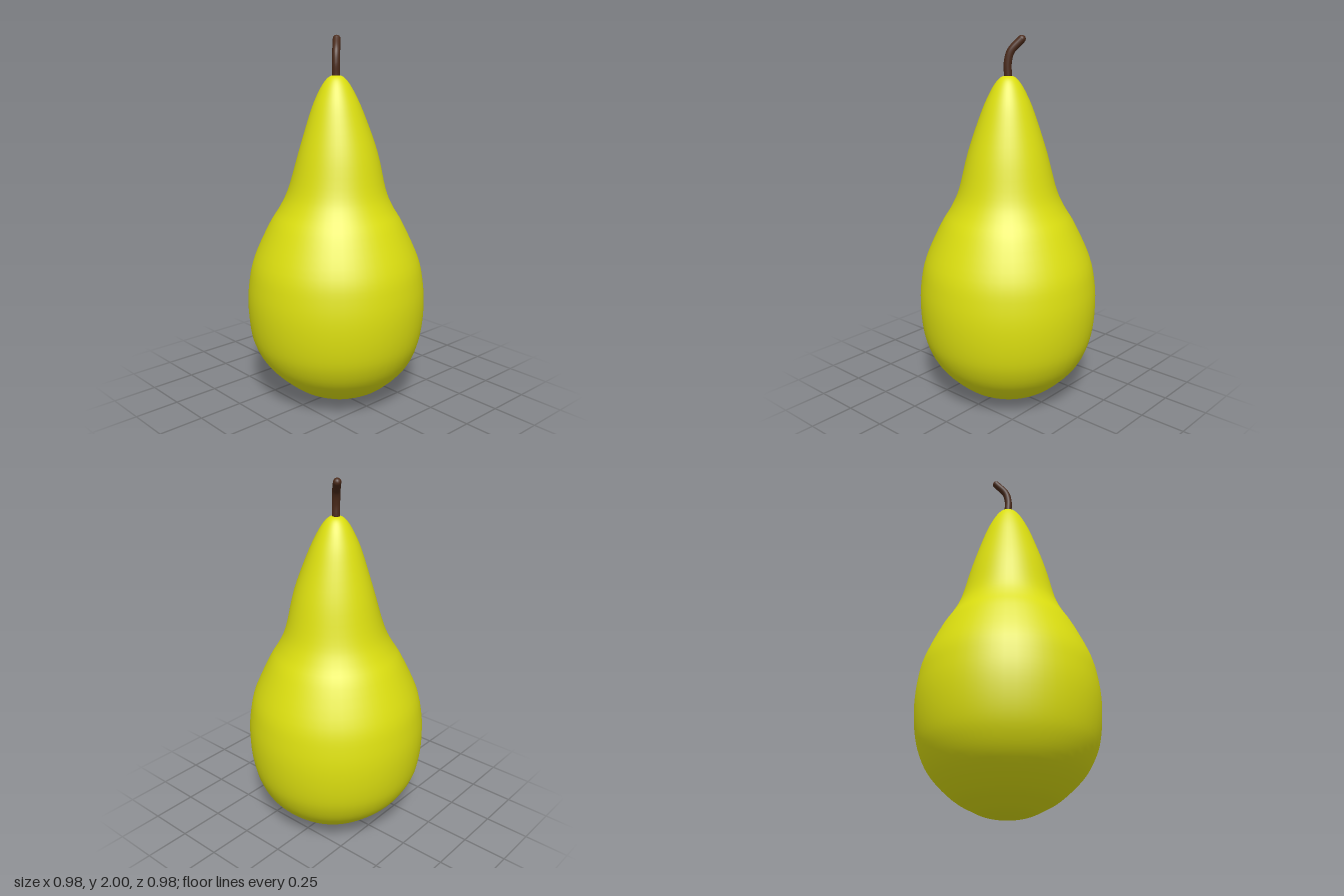
import * as THREE from 'three';

const mesh = (name, geometry, material) => {
  const m = new THREE.Mesh(geometry, material);
  m.name = name;
  return m;
};

// Smooth turned body, leaning very slightly off its axis
function createBody() {
  const outline = [
    [0, 0.004], [0.07, 0.007], [0.13, 0.02], [0.19, 0.047], [0.28, 0.1], [0.39, 0.205],
    [0.45, 0.31], [0.478, 0.42], [0.488, 0.56], [0.478, 0.69], [0.448, 0.82], [0.365, 1.0],
    [0.305, 1.1], [0.262, 1.2], [0.21, 1.4], [0.143, 1.6], [0.1, 1.7], [0.065, 1.76],
    [0.035, 1.79], [0, 1.8],
  ].map(([r, y]) => new THREE.Vector2(r, y));
  const profile = new THREE.SplineCurve(outline).getPoints(76);
  profile.forEach((p) => { p.x = Math.max(p.x, 0); });
  profile[0].x = profile[profile.length - 1].x = 0;

  const geometry = new THREE.LatheGeometry(profile, 48);
  const pos = geometry.attributes.position;
  for (let i = 0; i < pos.count; i++) {
    const y = pos.getY(i);
    const base = 1 - THREE.MathUtils.smoothstep(y, 0.05, 0.4);
    const neck = Math.exp(-(((y - 1.4) / 0.22) ** 2));
    pos.setX(i, pos.getX(i) + 0.012 * base + 0.01 * neck);
    pos.setZ(i, pos.getZ(i) - 0.016 * base - 0.005 * neck);
  }
  return geometry;
}

export function createModel() {
  const model = new THREE.Group();
  model.name = 'pear';
  const skin = new THREE.MeshStandardMaterial({ color: 0xdde010 });
  const bark = new THREE.MeshStandardMaterial({ color: 0x4a2a1a });

  model.add(mesh('body', createBody(), skin));

  // Curved stem with rounded ends
  const stem = new THREE.Group();
  stem.name = 'stem';
  const path = new THREE.CatmullRomCurve3([
    new THREE.Vector3(0, 1.8, 0),
    new THREE.Vector3(0.001, 1.86, 0.001),
    new THREE.Vector3(-0.01, 1.92, -0.01),
    new THREE.Vector3(-0.05, 1.981, -0.05),
  ]);
  const radius = 0.021;
  stem.add(mesh('stemShaft', new THREE.TubeGeometry(path, 20, radius, 16), bark));
  for (const [name, t] of [['stemBase', 0], ['stemTip', 1]]) {
    const cap = mesh(name, new THREE.SphereGeometry(radius, 16, 12), bark);
    cap.position.copy(path.getPoint(t));
    if (t === 1) cap.scale.setScalar(0.99);
    stem.add(cap);
  }
  model.add(stem);
  return model;
}
